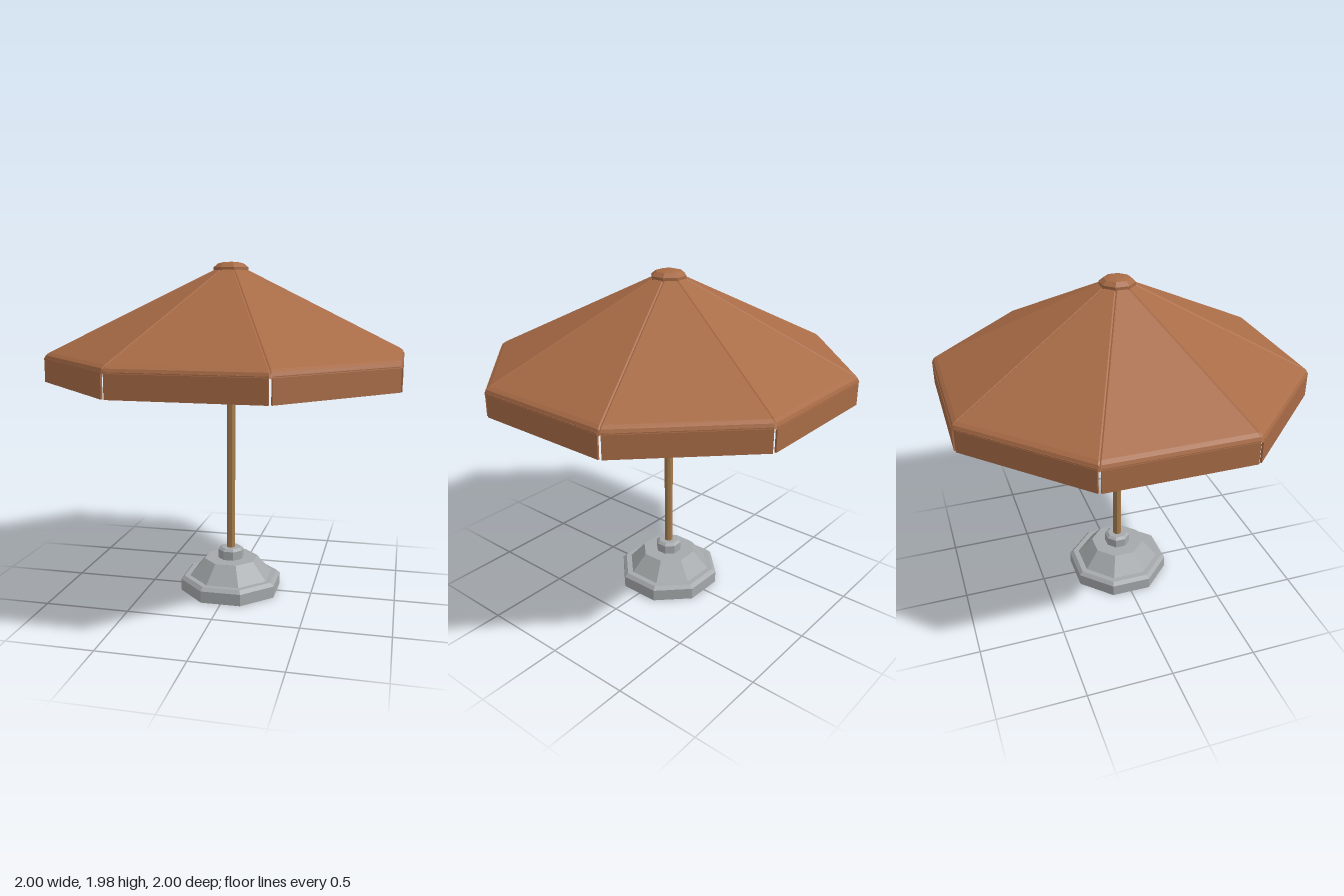
import * as THREE from 'three';

const SIDES = 8;
const HALF_TAN = Math.tan(Math.PI / SIDES);
const COS = Math.cos(Math.PI / SIDES);

function mat(name, color, extra = {}) {
  const m = new THREE.MeshStandardMaterial({ color, flatShading: true, ...extra });
  m.name = name;
  return m;
}

// Octagonal turned part; profile holds [apothem, y] pairs, flats face the axes
function turned(name, profile, material) {
  const pts = profile.map(([a, y]) => new THREE.Vector2(a / COS, y));
  const geo = new THREE.LatheGeometry(pts, SIDES, Math.PI / SIDES).toNonIndexed();
  geo.computeVertexNormals();
  const mesh = new THREE.Mesh(geo, material);
  mesh.name = name;
  return mesh;
}

// Straight square bar between two points
function bar(name, a, b, size, material) {
  const mesh = new THREE.Mesh(new THREE.BoxGeometry(size, size, a.distanceTo(b)), material);
  mesh.position.copy(a).lerp(b, 0.5);
  mesh.lookAt(b);
  mesh.name = name;
  return mesh;
}

// One fabric wedge facing +z, its side edges dipping into a narrow seam
function wedgeGeometry(profile) {
  const pos = [], index = [];
  for (const [z, y] of profile) {
    const w = z * HALF_TAN, seam = 0.008;
    for (const [x, dip] of [[-w, 0.006], [-w + seam, 0], [w - seam, 0], [w, 0.006]]) {
      pos.push(x, y - dip, z);
    }
  }
  for (let r = 0; r < profile.length - 1; r++) {
    for (let c = 0; c < 3; c++) {
      const i = r * 4 + c;
      index.push(i, i + 4, i + 1, i + 1, i + 4, i + 5);
    }
  }
  const geo = new THREE.BufferGeometry();
  geo.setAttribute('position', new THREE.Float32BufferAttribute(pos, 3));
  geo.setIndex(index);
  const flat = geo.toNonIndexed();
  flat.computeVertexNormals();
  return flat;
}

export function createModel() {
  const model = new THREE.Group();
  model.name = 'parasol';

  const fabric = mat('terracotta fabric', 0xa86b46, { side: THREE.DoubleSide });
  const wood = mat('wood', 0xa57c4c);
  const stone = mat('grey stone', 0xa5a9ab);

  // Weighted base with stepped collar
  model.add(turned('base', [
    [0, 0], [0.288, 0], [0.288, 0.07], [0.268, 0.09], [0.236, 0.09],
    [0.152, 0.195], [0.072, 0.195], [0.072, 0.248], [0.056, 0.262], [0, 0.262],
  ], stone));

  // Pole and the sliding hub that carries the struts
  model.add(turned('pole', [[0, 0.2], [0.024, 0.2], [0.024, 1.94], [0, 1.94]], wood));
  model.add(turned('strutHub', [
    [0.02, 1.455], [0.036, 1.46], [0.036, 1.495], [0.02, 1.5],
  ], wood));

  // Cap over the top of the canopy
  model.add(turned('cap', [
    [0, 1.925], [0.094, 1.925], [0.094, 1.953], [0.07, 1.974], [0.04, 1.982], [0, 1.984],
  ], fabric));

  // Canopy wedges with hanging valance flaps
  const wedge = wedgeGeometry([
    [0.03, 1.971], [0.968, 1.476], [0.988, 1.461], [0.998, 1.437],
  ]);
  const flap = new THREE.BoxGeometry(0.806, 0.135, 0.01);
  const canopy = new THREE.Group();
  canopy.name = 'canopy';
  for (let i = 0; i < SIDES; i++) {
    const section = new THREE.Group();
    section.name = 'canopySection';
    section.rotation.y = (i * Math.PI * 2) / SIDES;
    const panel = new THREE.Mesh(wedge, fabric);
    panel.name = 'canopyPanel';
    const valance = new THREE.Mesh(flap, fabric);
    valance.name = 'valance';
    valance.position.set(0, 1.3775, 0.992);
    section.add(panel, valance);
    canopy.add(section);
  }
  model.add(canopy);

  // Ribs under each seam, braced by struts from the hub
  const frame = new THREE.Group();
  frame.name = 'frame';
  for (let i = 0; i < SIDES; i++) {
    const arm = new THREE.Group();
    arm.name = 'ribAndStrut';
    const v = (r, y) => new THREE.Vector3(0, y, r);
    arm.add(bar('rib', v(0.02, 1.945), v(1.045, 1.448), 0.018, wood));
    arm.add(bar('strut', v(0.03, 1.48), v(0.53, 1.695), 0.011, wood));
    arm.rotation.y = ((i + 0.5) * Math.PI * 2) / SIDES;
    frame.add(arm);
  }
  model.add(frame);

  return model;
}
